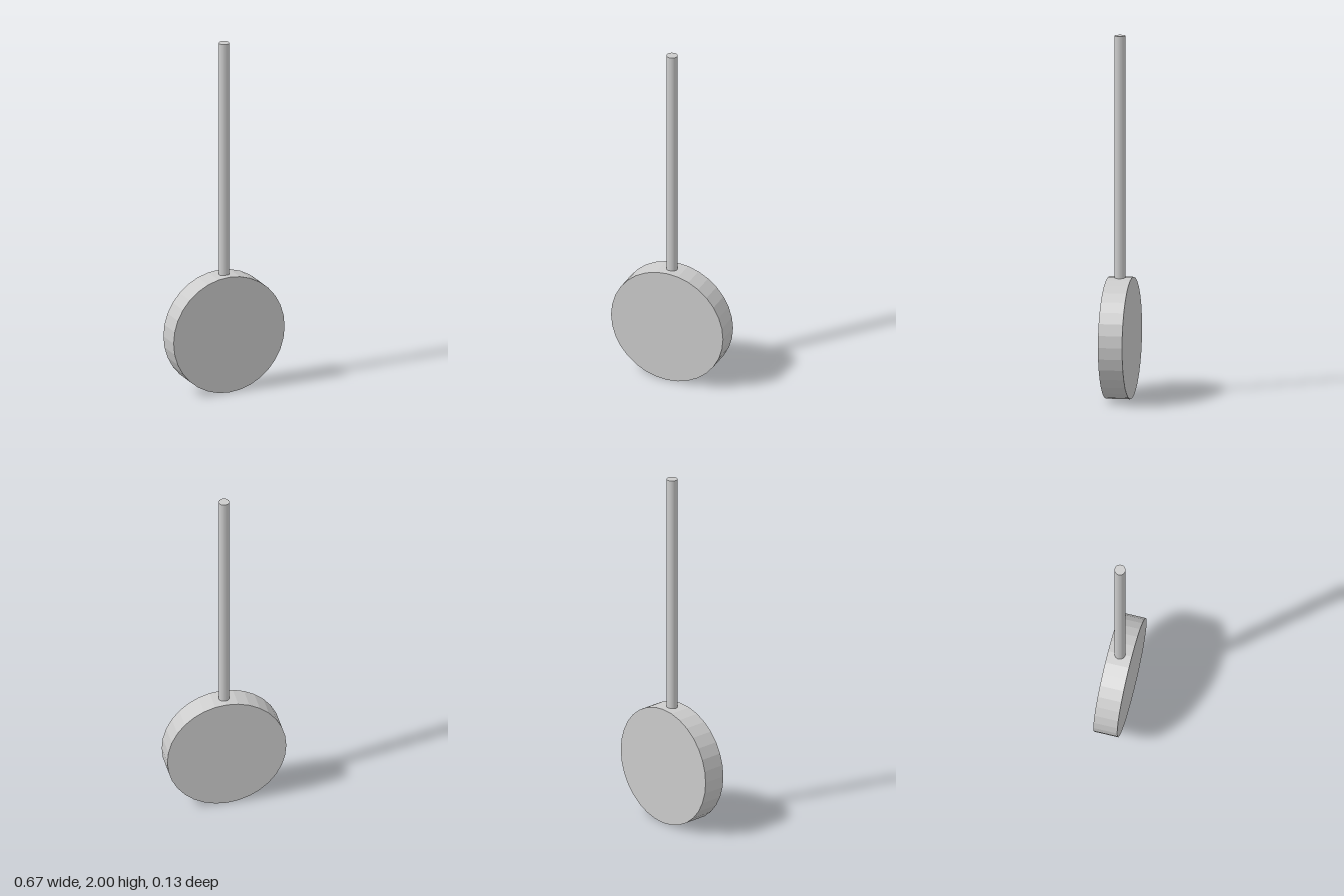
import * as THREE from 'three';

const SIDES = 32;
const DISC_RADIUS = 0.333;
const DISC_DEPTH = 0.133;
const ROD_RADIUS = 0.03;
const HEIGHT = 2;

export function createModel() {
  const model = new THREE.Group();
  model.name = 'pendulum';
  const material = new THREE.MeshStandardMaterial({ color: 0xcccccc, flatShading: true });

  // Upright disc standing on its rim, flat faces to front and back
  const disc = new THREE.Mesh(
    new THREE.CylinderGeometry(DISC_RADIUS, DISC_RADIUS, DISC_DEPTH, SIDES).rotateX(Math.PI / 2),
    material
  );
  disc.name = 'bob';
  disc.position.y = DISC_RADIUS;

  // Thin round rod rising from the top of the disc, seated slightly into the rim
  const rodBase = DISC_RADIUS * 2 - 0.01;
  const rodLength = HEIGHT - rodBase;
  const rod = new THREE.Mesh(
    new THREE.CylinderGeometry(ROD_RADIUS, ROD_RADIUS, rodLength, SIDES),
    material
  );
  rod.name = 'rod';
  rod.position.y = rodBase + rodLength / 2;

  model.add(disc, rod);
  return model;
}
